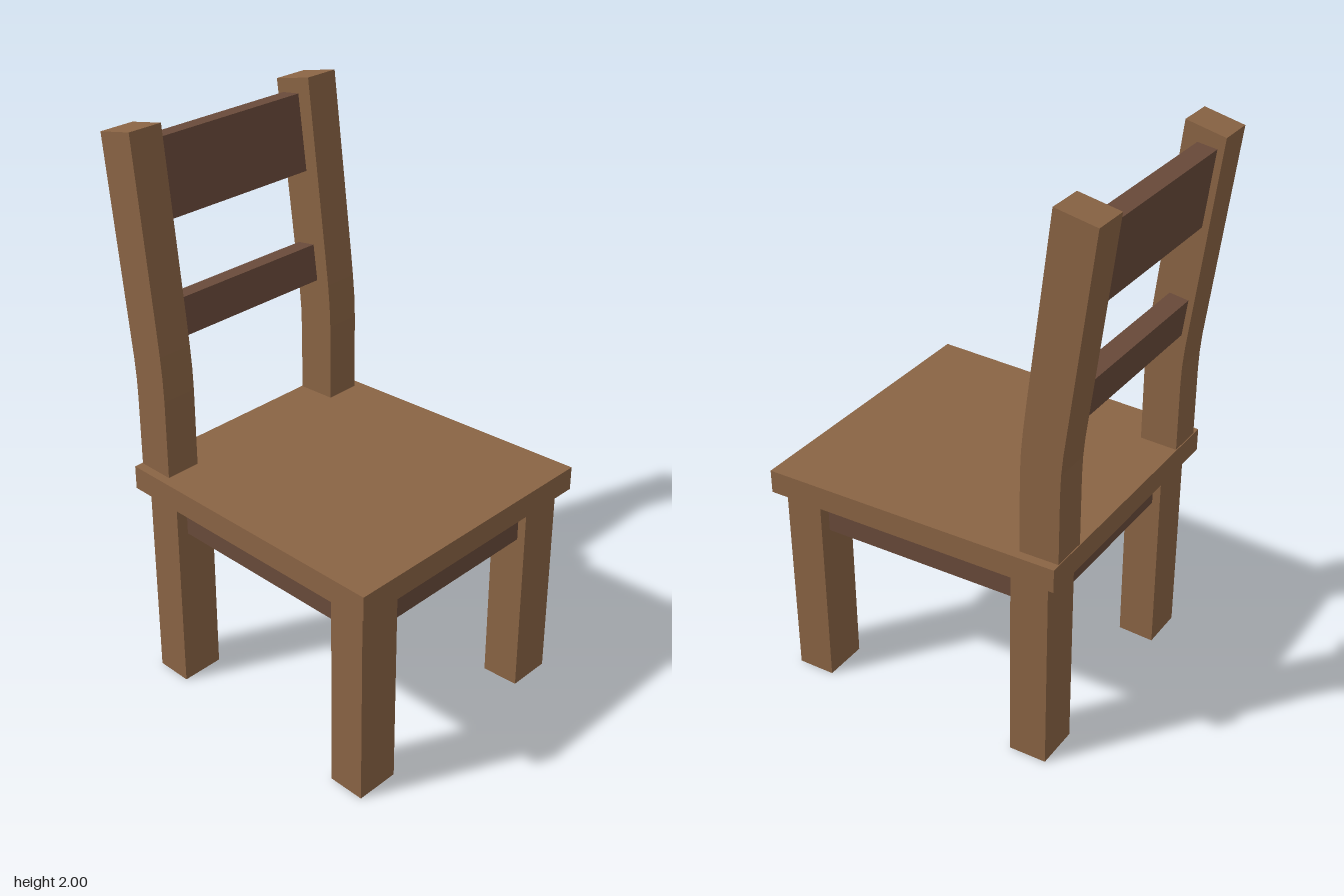
import * as THREE from 'three';

const TAPER = 0.0345; // how much each side widens per unit of z

// Slants a part so that it follows the tapered side of the seat
function slant(geometry, side, zRef) {
  const p = geometry.attributes.position;
  for (let i = 0; i < p.count; i++) {
    p.setX(i, p.getX(i) + side * TAPER * (p.getZ(i) - zRef));
  }
  geometry.computeVertexNormals();
  return geometry;
}

// Box given by its limits on each axis
function block(x0, x1, y0, y1, z0, z1) {
  return new THREE.BoxGeometry(x1 - x0, y1 - y0, z1 - z0)
    .translate((x0 + x1) / 2, (y0 + y1) / 2, (z0 + z1) / 2);
}

// Box on one side (+1 left, -1 right), given by its inner and outer x
function sideBlock(side, inner, outer, y0, y1, z0, z1) {
  const a = side * inner, b = side * outer;
  return block(Math.min(a, b), Math.max(a, b), y0, y1, z0, z1);
}

export function createModel() {
  const chair = new THREE.Group();
  chair.name = 'chair';
  const lightWood = new THREE.MeshStandardMaterial({ color: 0x8a6444 });
  lightWood.name = 'lightWood';
  const darkWood = new THREE.MeshStandardMaterial({ color: 0x694a3a });
  darkWood.name = 'darkWood';

  const add = (name, geometry, material) => {
    const mesh = new THREE.Mesh(geometry, material);
    mesh.name = name;
    chair.add(mesh);
    return mesh;
  };

  // Seat: trapezoid board, wider at the front
  const seatShape = new THREE.Shape([
    [-0.521, -0.59], [0.521, -0.59], [0.484, 0.49], [-0.484, 0.49],
  ].map(([x, y]) => new THREE.Vector2(x, y)));
  const seat = new THREE.ExtrudeGeometry(seatShape, { depth: 0.085, bevelEnabled: false });
  add('seat', seat.rotateX(-Math.PI / 2).translate(0, 0.74, 0), lightWood);

  // Back post outline as (-z, y): upright, a soft bend, then leaning back
  const postShape = new THREE.Shape([
    [0.487, 0.82], [0.487, 1.08], [0.489, 1.15], [0.495, 1.22], [0.505, 1.3], [0.588, 1.97],
    [0.445, 2], [0.369, 1.36], [0.359, 1.27], [0.352, 1.19], [0.349, 1.11], [0.349, 0.82],
  ].map(([x, y]) => new THREE.Vector2(x, y)));

  for (const side of [1, -1]) {
    const label = side > 0 ? 'left' : 'right';

    // Legs
    add(label + 'FrontLeg',
      slant(sideBlock(side, 0.325, 0.485, 0, 0.74, 0.42, 0.555), side, 0.52), lightWood);
    add(label + 'BackLeg',
      slant(sideBlock(side, 0.298, 0.457, 0, 0.74, -0.452, -0.317), side, -0.35), lightWood);

    // Side apron between the legs
    add(label + 'Apron',
      slant(sideBlock(side, 0.352, 0.427, 0.6, 0.74, -0.33, 0.43), side, 0.05), darkWood);

    // Back post
    const post = new THREE.ExtrudeGeometry(postShape, { depth: 0.129, bevelEnabled: false });
    post.rotateY(Math.PI / 2).translate(side > 0 ? 0.327 : -0.456, 0, 0);
    add(label + 'BackPost', slant(post, side, -0.37), lightWood);
  }

  // Front and back aprons
  add('frontApron', block(-0.335, 0.335, 0.6, 0.74, 0.45, 0.525), darkWood);
  add('backApron', block(-0.305, 0.305, 0.6, 0.74, -0.422, -0.347), darkWood);

  // Back rails, leaning with the posts
  for (const [name, height, y, z] of [
    ['topRail', 0.268, 1.799, -0.508],
    ['lowerRail', 0.132, 1.336, -0.453],
  ]) {
    const rail = add(name, new THREE.BoxGeometry(0.665, height, 0.07), darkWood);
    rail.position.set(0, y, z);
    rail.rotation.x = -0.125;
  }

  return chair;
}
